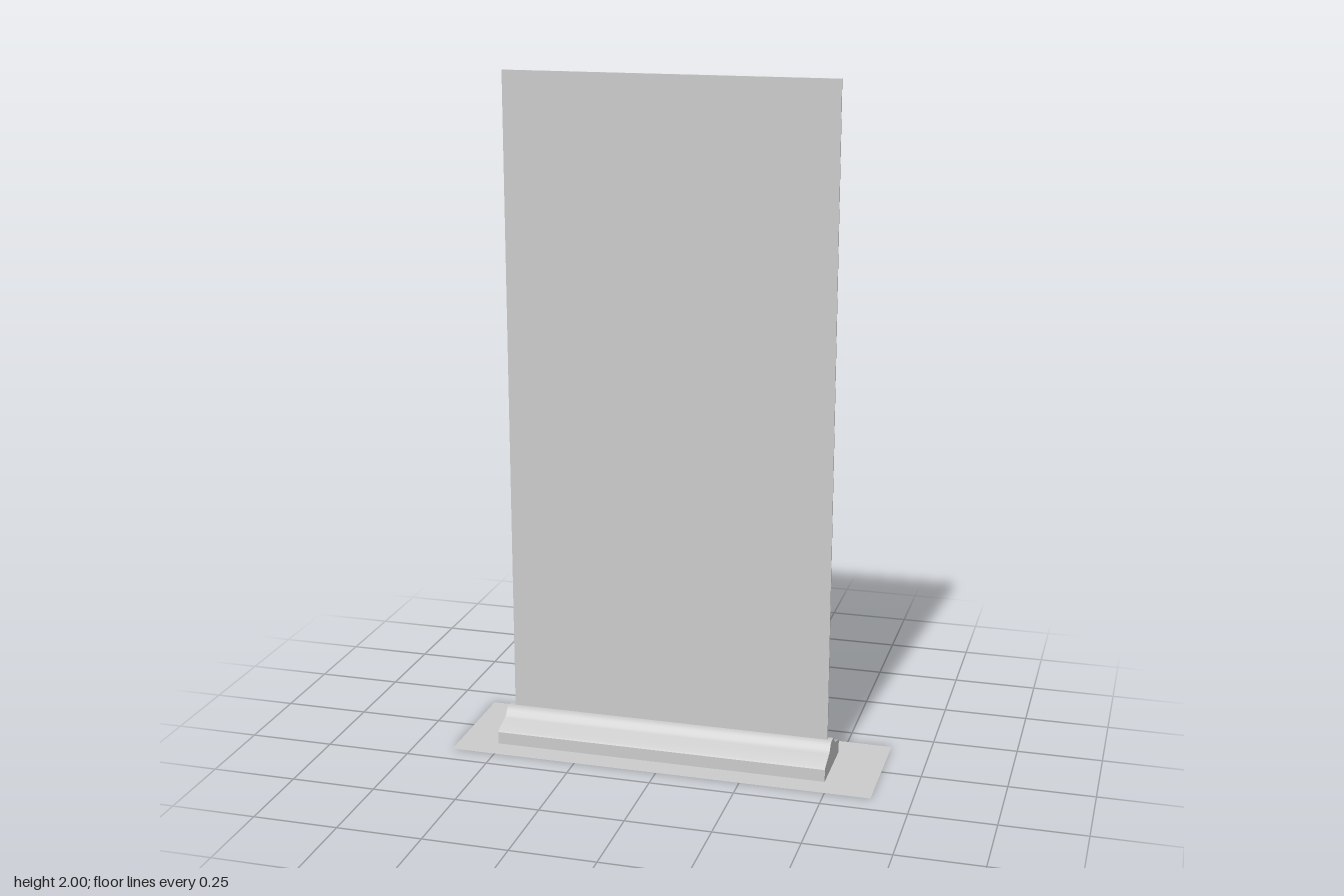
import * as THREE from 'three';
import { toCreasedNormals } from 'three/addons/utils/BufferGeometryUtils.js';

export function createModel() {
  const group = new THREE.Group();
  const grey = new THREE.MeshStandardMaterial({ color: 0xcccccc });
  const thin = new THREE.MeshStandardMaterial({ color: 0xcccccc, side: THREE.DoubleSide });

  const add = (name, geometry, material, x, y, z) => {
    const mesh = new THREE.Mesh(geometry, material);
    mesh.name = name;
    mesh.position.set(x, y, z);
    group.add(mesh);
    return mesh;
  };

  // Flat sheet under the stand
  add('floorSheet', new THREE.PlaneGeometry(1.266, 0.362).rotateX(-Math.PI / 2), thin, 0, 0, 0);

  // Cassette: symmetrical bell-shaped section (half width, height), extruded along x
  const half = [[0.106, 0.001], [0.106, 0.038], [0.1, 0.043], [0.046, 0.06], [0.038, 0.064],
    [0.033, 0.07], [0.028, 0.077], [0.022, 0.083], [0.015, 0.086]];
  const section = [...half, ...half.map(([z, y]) => [-z, y]).reverse()];
  const shape = new THREE.Shape(section.map(([z, y]) => new THREE.Vector2(z, y)));
  const length = 0.999;
  const cassette = new THREE.ExtrudeGeometry(shape, { depth: length, bevelEnabled: false });
  cassette.translate(0, 0, -length / 2).rotateY(-Math.PI / 2);
  add('baseCassette', toCreasedNormals(cassette, 0.6), grey, -0.0125, 0, 0.005);

  // Upright banner panel
  const bottom = 0.08, top = 2;
  add('bannerPanel', new THREE.BoxGeometry(0.966, top - bottom, 0.005), grey,
    -0.01, (top + bottom) / 2, 0.005);

  return group;
}
